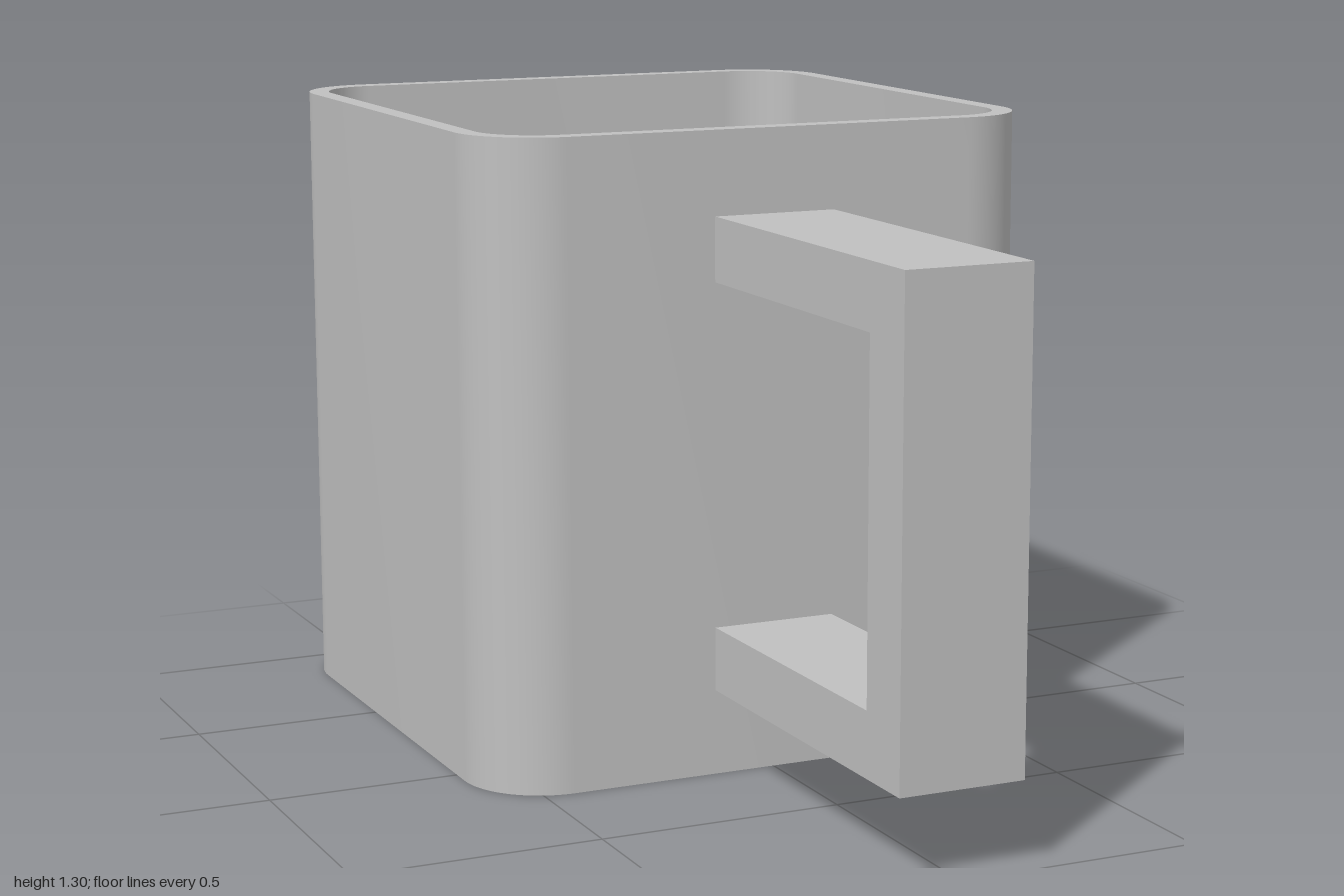
import * as THREE from 'three';
import { toCreasedNormals } from 'three/addons/utils/BufferGeometryUtils.js';

const HEIGHT = 1.305, HALF = 0.607, WALL = 0.042, RADIUS = 0.17, FLOOR = 0.04;
const BODY_Z = -0.393;

// Rounded square outline, counter-clockwise
function roundedSquare(half, r, Type = THREE.Shape) {
  const s = new Type();
  const c = half - r;
  s.moveTo(half, -c);
  s.absarc(c, c, r, 0, Math.PI / 2);
  s.absarc(-c, c, r, Math.PI / 2, Math.PI);
  s.absarc(-c, -c, r, Math.PI, Math.PI * 1.5);
  s.absarc(c, -c, r, Math.PI * 1.5, Math.PI * 2);
  s.closePath();
  return s;
}

// Extrude an outline upwards from y = 0, smooth around the corners
function extrudeUp(shape, height) {
  const g = new THREE.ExtrudeGeometry(shape, { depth: height, bevelEnabled: false, curveSegments: 12 });
  g.rotateX(-Math.PI / 2);
  return toCreasedNormals(g, 0.6);
}

export function createModel() {
  const model = new THREE.Group();
  model.name = 'squareMug';
  const ceramic = new THREE.MeshStandardMaterial({ color: 0xc0c0c0 });
  ceramic.name = 'grey ceramic';

  const add = (name, geometry, z = 0) => {
    const mesh = new THREE.Mesh(geometry, ceramic);
    mesh.name = name;
    mesh.position.z = z;
    model.add(mesh);
  };

  // Hollow body with a thin, even wall
  const wall = roundedSquare(HALF, RADIUS);
  wall.holes.push(roundedSquare(HALF - WALL, RADIUS - WALL, THREE.Path));
  add('bodyWall', extrudeUp(wall, HEIGHT), BODY_Z);

  // Floor closing the bottom
  add('bodyFloor', extrudeUp(roundedSquare(HALF - WALL, RADIUS - WALL), FLOOR), BODY_Z);

  // Square-cut handle, drawn in side profile (z, y) and extruded across x
  const points = [
    [0.2, 0.175], [1, 0.175], [1, 1.135], [0.2, 1.135],
    [0.2, 1.005], [0.87, 1.005], [0.87, 0.305], [0.2, 0.305],
  ].map(([z, y]) => new THREE.Vector2(z, y));
  const handle = new THREE.ExtrudeGeometry(new THREE.Shape(points), { depth: 0.26, bevelEnabled: false });
  handle.rotateY(-Math.PI / 2);
  handle.translate(0.13, 0, 0);
  add('handle', handle);

  return model;
}
